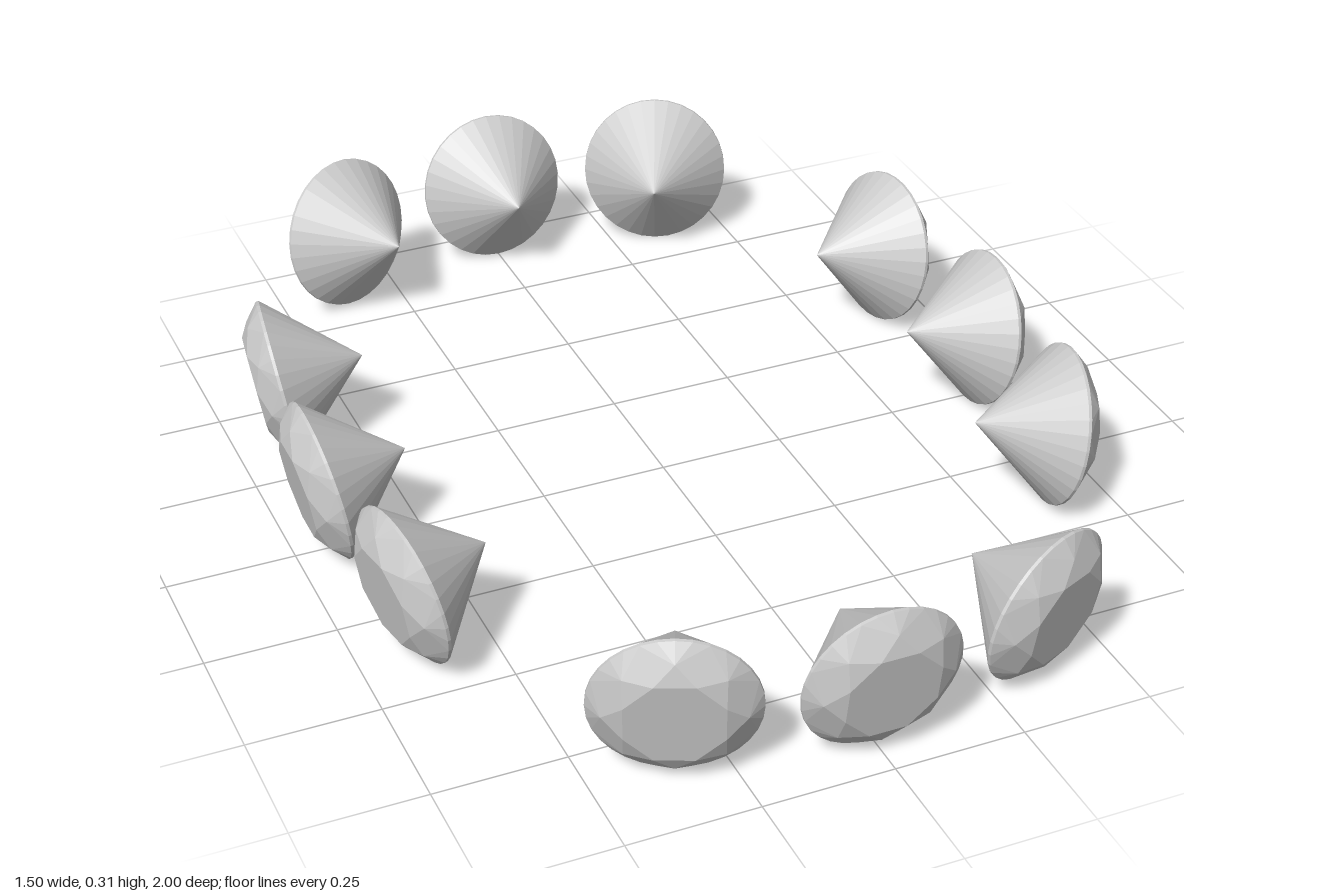
import * as THREE from 'three';

const R = 0.152;        // girdle radius
const CROWN = 0.044;    // crown height
const PAVILION = 0.168; // depth to the point
const BAND = 0.003;     // half thickness of the girdle
const TABLE = 0.62;     // table radius relative to R
const N = 32;           // girdle segments
const TILT = 0.17;      // tables lean slightly downwards

// Brilliant-cut stone: table towards +z, point towards -z
function gemGeometry() {
  const pos = [];
  const pt = (r, deg, z) => {
    const a = THREE.MathUtils.degToRad(deg + 22.5);
    return [R * r * Math.cos(a), R * r * Math.sin(a), z];
  };
  const tri = (a, b, c) => pos.push(...a, ...b, ...c);
  const step = 360 / N;

  // Crown: table, star, kite and upper girdle facets, eight of each
  const top = BAND + CROWN;
  const kiteZ = BAND + CROWN * (1 - 0.82 * Math.cos(Math.PI / 8)) / (1 - TABLE);
  for (let j = 0; j < 8; j++) {
    const a = j * 45;
    const t0 = pt(TABLE, a, top), t1 = pt(TABLE, a + 45, top);
    const k0 = pt(0.82, a - 22.5, kiteZ), k1 = pt(0.82, a + 22.5, kiteZ);
    const g = pt(1, a, BAND);
    tri([0, 0, top], t0, t1);
    tri(t0, k1, t1);
    tri(t0, k0, g);
    tri(t0, g, k1);
    for (let i = 0; i < N / 8; i++) {
      tri(k1, pt(1, a + i * step, BAND), pt(1, a + (i + 1) * step, BAND));
    }
  }

  // Girdle band and pavilion
  for (let i = 0; i < N; i++) {
    const a = i * step, b = a + step;
    const u0 = pt(1, a, BAND), u1 = pt(1, b, BAND);
    const l0 = pt(1, a, -BAND), l1 = pt(1, b, -BAND);
    tri(u0, l0, l1);
    tri(u0, l1, u1);
    tri(l1, l0, [0, 0, -PAVILION]);
  }

  const geo = new THREE.BufferGeometry();
  geo.setAttribute('position', new THREE.Float32BufferAttribute(pos, 3));
  geo.computeVertexNormals();
  return geo;
}

export function createModel() {
  const model = new THREE.Group();
  model.name = 'gemRing';
  const geo = gemGeometry();
  const mat = new THREE.MeshStandardMaterial({ color: 0xcccccc, flatShading: true });

  const addGem = (name, x, z, yaw) => {
    const gem = new THREE.Mesh(geo, mat);
    gem.name = name;
    gem.position.set(x, 0.162, z);
    gem.rotation.set(TILT, yaw, 0, 'YXZ');
    gem.scale.y = 1.03;
    model.add(gem);
  };

  // Middle stones of the four sides
  addGem('frontGem', 0, 0.937, 0);
  addGem('backGem', 0, -0.937, Math.PI);
  for (const s of [1, -1]) {
    const side = s > 0 ? 'left' : 'right';
    addGem(side + 'Gem', s * 0.69, 0, s * Math.PI / 2);
    // Flanking stones, turned to follow the oval
    for (const f of [1, -1]) {
      const end = f > 0 ? 'Front' : 'Back';
      const yaw = (angle) => Math.atan2(s * Math.sin(angle), f * Math.cos(angle));
      addGem(side + end + 'EndGem', s * 0.353, f * 0.868, yaw(0.41));
      addGem(side + end + 'SideGem', s * 0.656, f * 0.371, yaw(Math.PI / 2 - 0.165));
    }
  }
  return model;
}
